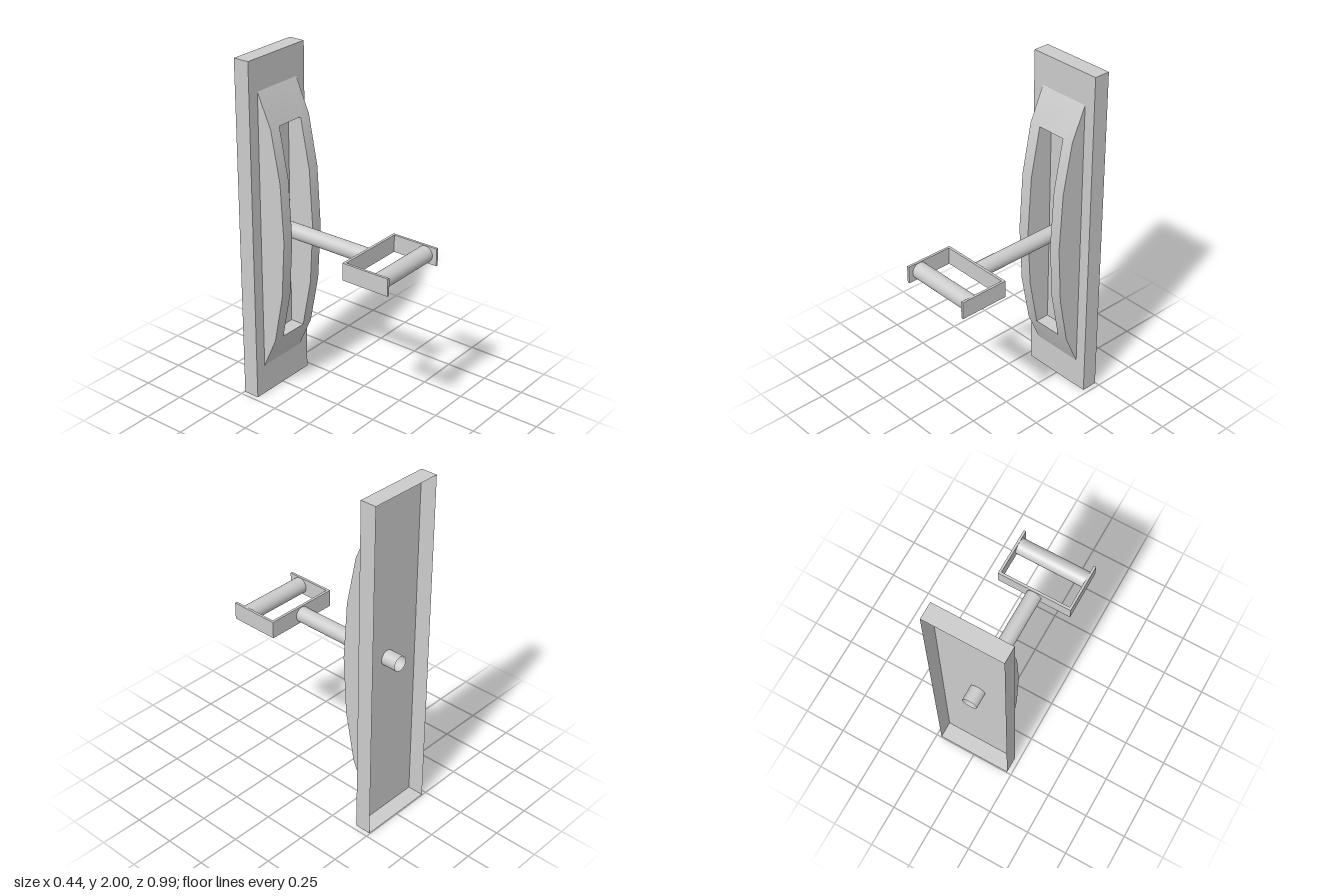
import * as THREE from 'three';
import { mergeGeometries, toCreasedNormals } from 'three/addons/utils/BufferGeometryUtils.js';

const material = new THREE.MeshStandardMaterial({ color: 0xcccccc });
const thinMaterial = new THREE.MeshStandardMaterial({ color: 0xcccccc, side: THREE.DoubleSide });

export function createModel() {
  const model = new THREE.Group();
  model.name = 'pullHandle';

  const add = (name, geometry, x, y, z, parent = model, mat = material) => {
    const mesh = new THREE.Mesh(geometry, mat);
    mesh.name = name;
    mesh.position.set(x, y, z);
    parent.add(mesh);
    return mesh;
  };

  // Back plate: a thin tray, open at the rear (last box face dropped)
  const tray = new THREE.BoxGeometry(0.444, 2, 0.095);
  tray.setIndex(Array.from(tray.index.array).slice(0, 30));
  tray.clearGroups();
  add('backPlate', tray, 0, 1, -0.4485, model, thinMaterial);

  // Bowed pad with a long slot: side profiles (z, y) extruded across x
  const zBack = -0.401;
  const slab = (points, x0, x1) => {
    const shape = new THREE.Shape(points.map(([z, y]) => new THREE.Vector2(z, y)));
    return new THREE.ExtrudeGeometry(shape, { depth: x1 - x0, bevelEnabled: false })
      .rotateY(-Math.PI / 2)
      .translate(x1, 0, 0);
  };
  const half = [[zBack, 0.18], [-0.316, 0.37], [-0.26, 0.66]];
  const mirrorY = (points) => points.map(([z, y]) => [z, 2 - y]).reverse();
  const bow = [...half, [-0.24, 1], ...mirrorY(half)];
  const wedge = [half[0], half[1], [zBack, 0.37]];
  const outer = 0.156, inner = 0.087;
  const pad = mergeGeometries([
    slab(bow, inner, outer),
    slab(bow, -outer, -inner),
    slab(wedge, -inner, inner),
    slab(mirrorY(wedge), -inner, inner),
  ]);
  add('bowedPad', toCreasedNormals(pad, Math.PI / 7), 0, 0, 0);

  // Hollow stem running through the plate to the bracket
  const stem = new THREE.CylinderGeometry(0.044, 0.044, 0.7, 32, 1, true).rotateX(Math.PI / 2);
  add('stem', stem, 0, 1, -0.14, model, thinMaterial);

  // U-shaped bracket
  const bracket = new THREE.Group();
  bracket.name = 'bracket';
  model.add(bracket);
  add('bracketBack', new THREE.BoxGeometry(0.444, 0.1, 0.015), 0, 1, 0.2155, bracket);
  for (const side of [-1, 1]) {
    add(side > 0 ? 'leftArm' : 'rightArm', new THREE.BoxGeometry(0.014, 0.1, 0.273),
      side * 0.215, 1, 0.3595, bracket);
  }

  // Round grip between the arms
  const grip = new THREE.CylinderGeometry(0.047, 0.047, 0.417, 32).rotateZ(Math.PI / 2);
  add('grip', grip, 0, 1, 0.424);

  return model;
}
